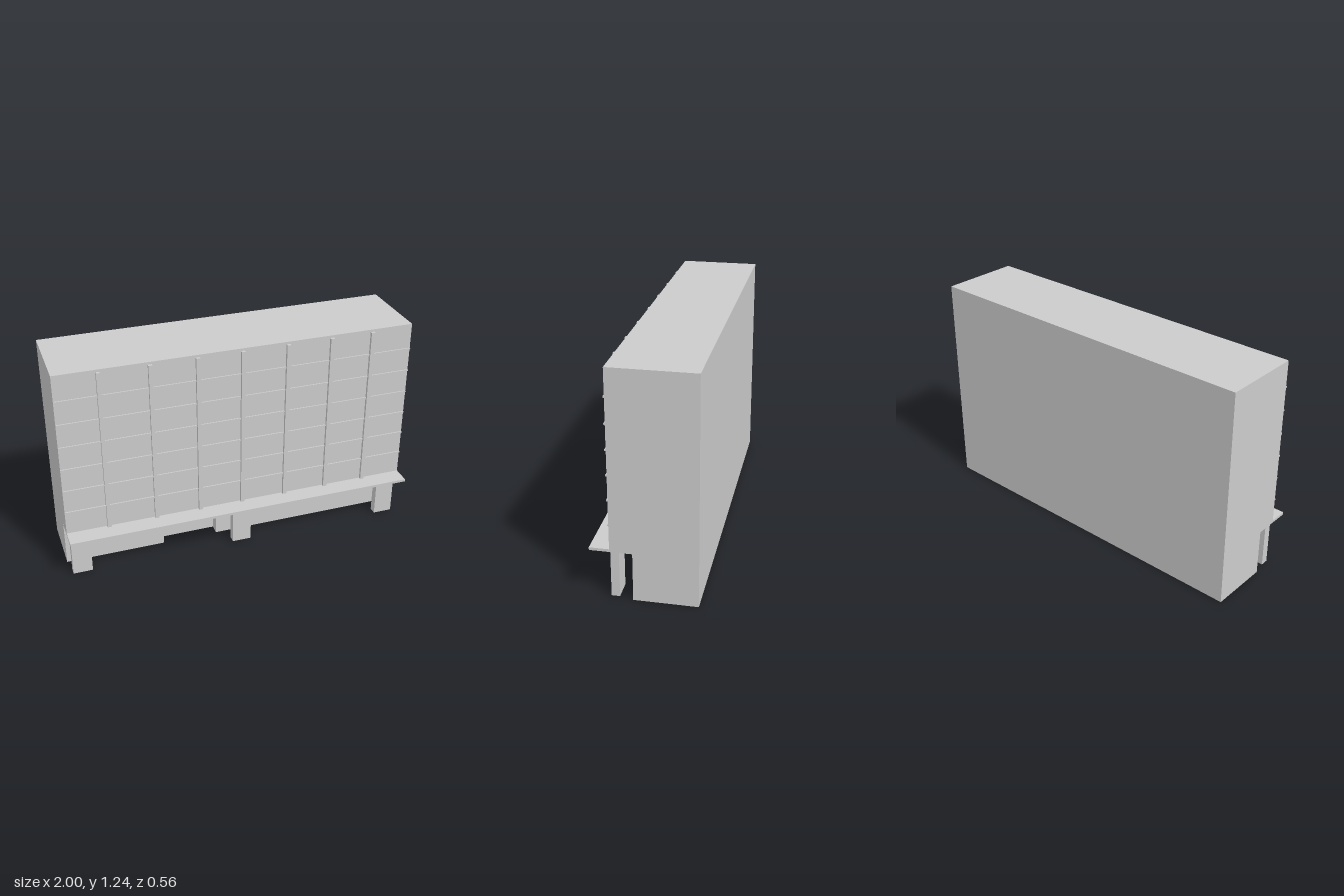
import * as THREE from 'three';

const grey = new THREE.MeshStandardMaterial({ color: 0xcccccc, flatShading: true, side: THREE.DoubleSide });

// Box given by its lower and upper limits on each axis
function block(name, [x0, x1], [y0, y1], [z0, z1]) {
  const mesh = new THREE.Mesh(new THREE.BoxGeometry(x1 - x0, y1 - y0, z1 - z0), grey);
  mesh.position.set((x0 + x1) / 2, (y0 + y1) / 2, (z0 + z1) / 2);
  mesh.name = name;
  return mesh;
}

// Side outline as [z, y]; the ground floor is set back and the underside is open
const outline = [[-0.278, 0], [-0.278, 1.238], [0.174, 1.238], [0.174, 0.265], [0.05, 0.265], [0.05, 0]];

function buildingShell() {
  const shell = new THREE.Group();
  shell.name = 'buildingShell';

  // Back wall, roof, facade and soffit swept along x
  const points = [];
  for (let i = 0; i < 4; i++) {
    const [z0, y0] = outline[i], [z1, y1] = outline[i + 1];
    points.push(-1, y0, z0, -1, y1, z1, 1, y0, z0);
    points.push(1, y0, z0, -1, y1, z1, 1, y1, z1);
  }
  const sweep = new THREE.BufferGeometry();
  sweep.setAttribute('position', new THREE.Float32BufferAttribute(points, 3));
  sweep.computeVertexNormals();
  const walls = new THREE.Mesh(sweep, grey);
  walls.name = 'wallsAndRoof';
  shell.add(walls);

  // End walls
  for (const s of [1, -1]) {
    const shape = new THREE.Shape(outline.map(([z, y]) => new THREE.Vector2(-s * z, y)));
    const end = new THREE.Mesh(new THREE.ShapeGeometry(shape).rotateY(s * Math.PI / 2), grey);
    end.position.x = s;
    end.name = s > 0 ? 'leftEndWall' : 'rightEndWall';
    shell.add(end);
  }
  return shell;
}

function groundFloor() {
  const floor = new THREE.Group();
  floor.name = 'groundFloor';
  const height = [0, 0.265], depth = [0.05, 0.057];

  // Wall panels on both sides of the entrance
  for (const [start, end, count] of [[-1, -0.465, 2], [-0.077, 1, 4]]) {
    const w = (end - start) / count;
    for (let i = 0; i < count; i++)
      floor.add(block('wallPanel', [start + i * w, start + (i + 1) * w], height, depth));
  }

  // Recessed entrance: posts, niche sides, header and door
  floor.add(block('entrancePost', [-0.465, -0.43], height, depth));
  floor.add(block('entrancePost', [-0.11, -0.077], height, depth));
  floor.add(block('entranceSide', [-0.434, -0.43], height, [-0.005, 0.05]));
  floor.add(block('entranceSide', [-0.11, -0.106], height, [-0.005, 0.05]));
  floor.add(block('entranceHeader', [-0.43, -0.11], [0.22, 0.245], [0, 0.057]));
  floor.add(block('entranceDoor', [-0.434, -0.106], height, [-0.008, -0.003]));
  return floor;
}

export function createModel() {
  const model = new THREE.Group();
  model.name = 'building';
  model.add(buildingShell(), groundFloor());

  // Canopy and its pillars
  model.add(block('canopy', [-1, 1], [0.265, 0.28], [0.174, 0.278]));
  for (const x of [-0.93, 0.012, 0.925])
    model.add(block('pillar', [x - 0.055, x + 0.055], [0, 0.265], [0.13, 0.174]));

  // Vertical fins on the facade
  for (const x of [-0.764, -0.493, -0.238, 0.011, 0.267, 0.52, 0.76])
    model.add(block('facadeFin', [x - 0.011, x + 0.011], [0.28, 1.224], [0.174, 0.19]));

  // Horizontal floor strips
  for (let i = 0; i < 6; i++) {
    const y = 0.415 + i * 0.135;
    model.add(block('floorStrip', [-1, 1], [y - 0.004, y + 0.004], [0.174, 0.181]));
  }
  return model;
}
